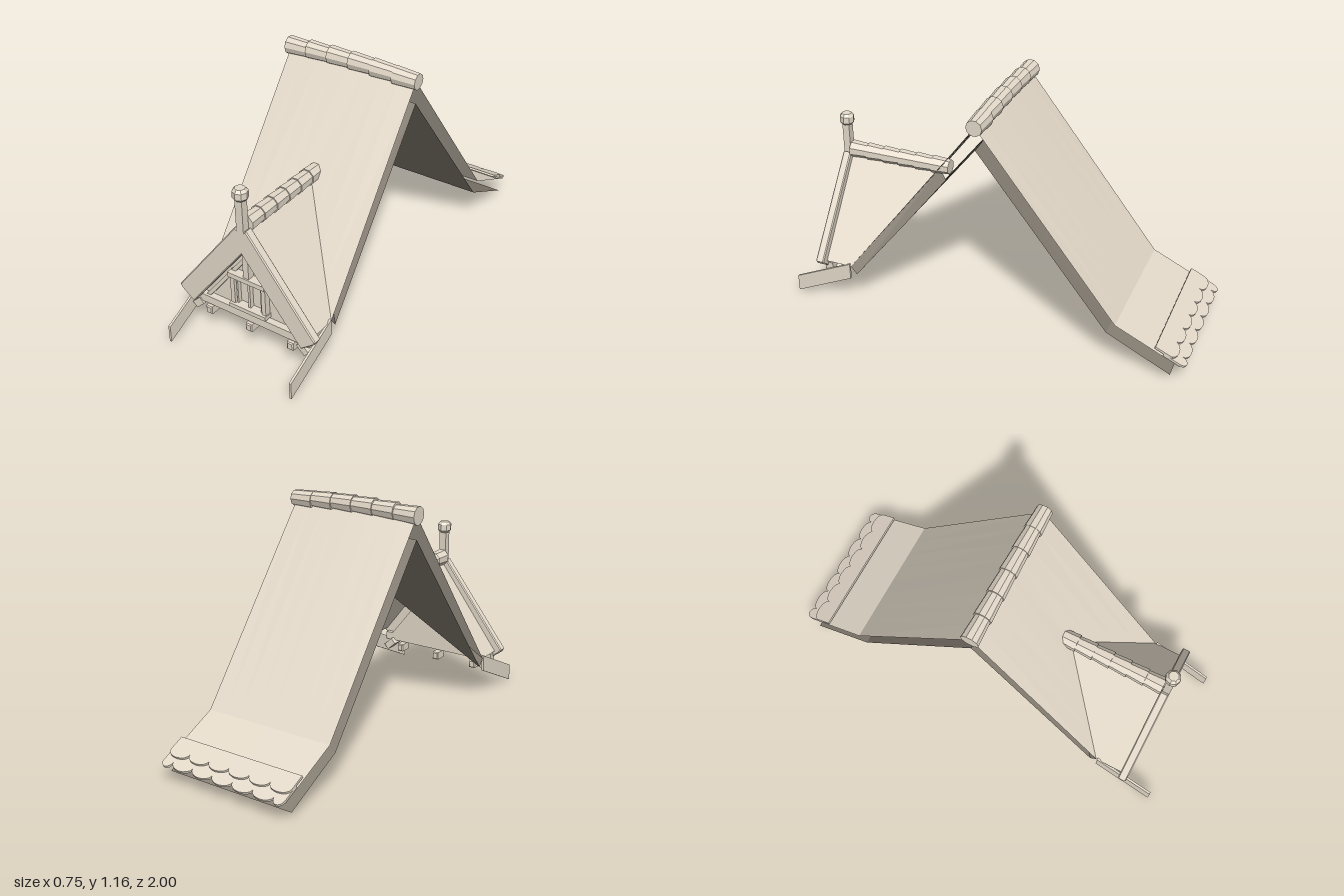
import * as THREE from 'three';

function material(name, color) {
  const m = new THREE.MeshStandardMaterial({ color, flatShading: true, side: THREE.DoubleSide });
  m.name = name;
  return m;
}
const cream = material('cream', 0xe4daca);
const shade = material('darkTaupe', 0x857d72);
const W = 0.34; // half width of the roof

function add(parent, name, geo, x = 0, y = 0, z = 0, rz = 0, mat = cream) {
  const m = new THREE.Mesh(geo, mat);
  m.name = name;
  m.position.set(x, y, z);
  m.rotation.z = rz;
  parent.add(m);
  return m;
}
const box = (p, name, w, h, d, x, y, z, rz = 0) => add(p, name, new THREE.BoxGeometry(w, h, d), x, y, z, rz);

// thin sheet made of convex polygons, each split into a fan
function sheet(parent, name, polys, mat) {
  const v = [];
  for (const p of polys)
    for (let i = 1; i < p.length - 1; i++) v.push(...p[0], ...p[i], ...p[i + 1]);
  const g = new THREE.BufferGeometry();
  g.setAttribute('position', new THREE.Float32BufferAttribute(v, 3));
  g.computeVertexNormals();
  return add(parent, name, g, 0, 0, 0, 0, mat);
}

// point on the valley between main roof and dormer, at a given x
function valley(r, x) {
  const t = Math.abs(x) / W;
  return [x, r.apex[0] + (r.front[0] - r.apex[0]) * t, r.apex[1] + (r.front[1] - r.apex[1]) * t];
}

// one roof skin with a slightly bowed ridge: back slope, flared eave, front slope notched for the dormer
function roofSkin(parent, name, r, mat) {
  const back = [], flare = [], front = [], n = 8;
  const top = x => [x, r.ridge[0] + 0.012 * (1 - (x / W) ** 2), r.ridge[1]];
  for (let i = 0; i < n; i++) {
    const a = -W + 2 * W * i / n, b = a + 2 * W / n;
    back.push([top(b), top(a), [a, ...r.knee], [b, ...r.knee]]);
    flare.push([[b, ...r.knee], [a, ...r.knee], [a, ...r.eave], [b, ...r.eave]]);
    front.push([top(a), top(b), valley(r, b), valley(r, a)].reverse());
  }
  sheet(parent, name + 'BackSlope', back, mat);
  sheet(parent, name + 'BackEave', flare, mat);
  sheet(parent, name + 'FrontSlope', front, mat);
}

function extrude(points, depth, bevel = 0) {
  const shape = new THREE.Shape(points.map(([x, y]) => new THREE.Vector2(x, y)));
  return new THREE.ExtrudeGeometry(shape, {
    depth, bevelEnabled: bevel > 0, bevelSize: bevel, bevelThickness: bevel, bevelOffset: -bevel, bevelSegments: 1,
  });
}

// tile with a rounded lower end
function scaleTile(w, len) {
  const pts = [[-w / 2, 0], [-w / 2, -len + 0.032]];
  for (let i = 1; i < 8; i++) {
    const a = Math.PI * (1 - i / 8);
    pts.push([Math.cos(a) * w / 2, -len + 0.032 - Math.sin(a) * 0.032]);
  }
  pts.push([w / 2, -len + 0.032], [w / 2, 0]);
  return extrude(pts, 0.011);
}

export function createModel() {
  const model = new THREE.Group();
  model.name = 'roof';

  // outer skin and dark inner lining, open at the sides
  const outer = { ridge: [1.1, 0.015], knee: [0.23, -0.66], eave: [0.085, -0.97], front: [0.215, 0.69], apex: [0.66, 0.351] };
  const inner = { ridge: [0.99, 0.015], knee: [0.18, -0.62], eave: [0.028, -0.93], front: [0.175, 0.66], apex: [0.6, 0.32] };
  roofSkin(model, 'outer', outer, cream);
  roofSkin(model, 'inner', inner, shade);

  // dormer slopes and the reveals that join them to the lining
  for (const s of [1, -1]) {
    const x = s * W, [ay] = outer.apex, [fy] = outer.front;
    const slope = [valley(outer, 0), [0, ay, 0.83], [x, fy, 0.83], valley(outer, x)];
    sheet(model, 'dormerSlope', [s > 0 ? slope : slope.reverse()], cream);
    sheet(model, 'dormerReveal', [[valley(outer, 0), valley(outer, x), valley(inner, x), valley(inner, 0)]], shade);
  }

  // main ridge tiles, gently bowed
  const ridge = new THREE.Group();
  ridge.name = 'ridgeTiles';
  model.add(ridge);
  for (let i = 0; i < 6; i++) {
    const x = -0.29 + i * 0.1165;
    const y = 1.1 + 0.013 * (1 - (x / W) ** 2);
    add(ridge, 'ridgeTile', new THREE.CylinderGeometry(0.045, 0.039, 0.119, 10), x, y, 0.015, Math.PI / 2 - x * 0.06);
  }

  // dormer ridge tiles
  for (let i = 0; i < 6; i++) {
    const g = new THREE.CylinderGeometry(0.043, 0.037, 0.092, 8).rotateY(Math.PI / 8).rotateX(Math.PI / 2);
    add(model, 'dormerRidgeTile', g, 0, 0.68, 0.78 - i * 0.088);
  }

  // rounded tiles on the back eave
  const tiles = new THREE.Group();
  tiles.name = 'eaveTiles';
  const up = new THREE.Vector3(0, 0.424, 0.906);
  const out = new THREE.Vector3(0, 0.906, -0.424);
  tiles.applyMatrix4(new THREE.Matrix4().makeBasis(new THREE.Vector3(-1, 0, 0), up, out));
  tiles.position.set(0, 0.146, -0.845);
  model.add(tiles);
  const w = 2 * W / 6;
  for (let i = 0; i < 6; i++) add(tiles, 'upperTile', scaleTile(w, 0.11), -W + w * (i + 0.5), 0, 0.011);
  for (let i = 0; i < 5; i++) add(tiles, 'lowerTile', scaleTile(w, 0.115), -W + w * (i + 1), -0.05, 0.001);
  for (const s of [1, -1]) add(tiles, 'lowerHalfTile', scaleTile(w / 2, 0.115), s * (W - w / 4), -0.05, 0.001);

  // gable wall, tie beam and king post
  add(model, 'gableWall', extrude([[-0.3, 0.19], [0.3, 0.19], [0, 0.57]], 0.008), 0, 0, 0.8);
  box(model, 'tieBeam', 0.66, 0.04, 0.04, 0, 0.181, 0.82);
  box(model, 'kingPost', 0.03, 0.145, 0.035, 0, 0.473, 0.828);

  // pair of bargeboards cut as one chevron
  const edge = [[0.3, 0.16], [0.366, 0.21], [0.377, 0.228], [0.03, 0.67]];
  const chevron = [[0, 0.54], ...edge, [0, 0.65], ...edge.map(([x, y]) => [-x, y]).reverse()];
  add(model, 'bargeboards', extrude(chevron, 0.032, 0.005), 0, 0, 0.829);

  for (const s of [1, -1]) {
    // inner rafter strip
    box(model, 'gableRafter', 0.018, 0.37, 0.025, s * 0.135, 0.335, 0.815, s * 0.667);
    // sloping side board at the front eave
    const board = extrude([[-1, 0], [-1, 0.085], [-0.695, 0.228], [-0.695, 0.145]], 0.011).rotateY(Math.PI / 2);
    add(model, 'sideBoard', board, s * 0.339 - 0.0055, 0, 0);
    // rafter end
    box(model, 'rafterEnd', 0.06, 0.035, 0.07, s * 0.293, 0.142, 0.81, s * -0.75);
    // window stiles
    box(model, 'windowStile', 0.022, 0.15, 0.03, s * 0.085, 0.305, 0.825);
    box(model, 'windowInnerStile', 0.008, 0.15, 0.02, s * 0.066, 0.305, 0.82);
  }
  // beam ends with chamfered edges
  for (const x of [-0.228, 0, 0.228])
    add(model, 'beamEnd', extrude([[-0.017, -0.02], [0.017, -0.02], [0.017, 0.02], [-0.017, 0.02]], 0.06, 0.005), x, 0.13, 0.785);

  // window rails and mullion
  box(model, 'windowHead', 0.2, 0.024, 0.045, 0, 0.388, 0.83);
  box(model, 'windowSill', 0.2, 0.02, 0.045, 0, 0.222, 0.83);
  box(model, 'windowMullion', 0.012, 0.15, 0.022, 0, 0.305, 0.821);

  // finial with a barrel-shaped knob
  box(model, 'finialPost', 0.038, 0.19, 0.036, 0, 0.735, 0.848);
  const knob = [[0, 0.813], [0.024, 0.813], [0.036, 0.826], [0.036, 0.857], [0.024, 0.871], [0, 0.871]];
  add(model, 'finialKnob', new THREE.LatheGeometry(knob.map(([x, y]) => new THREE.Vector2(x, y)), 8), 0, 0, 0.848);

  return model;
}
